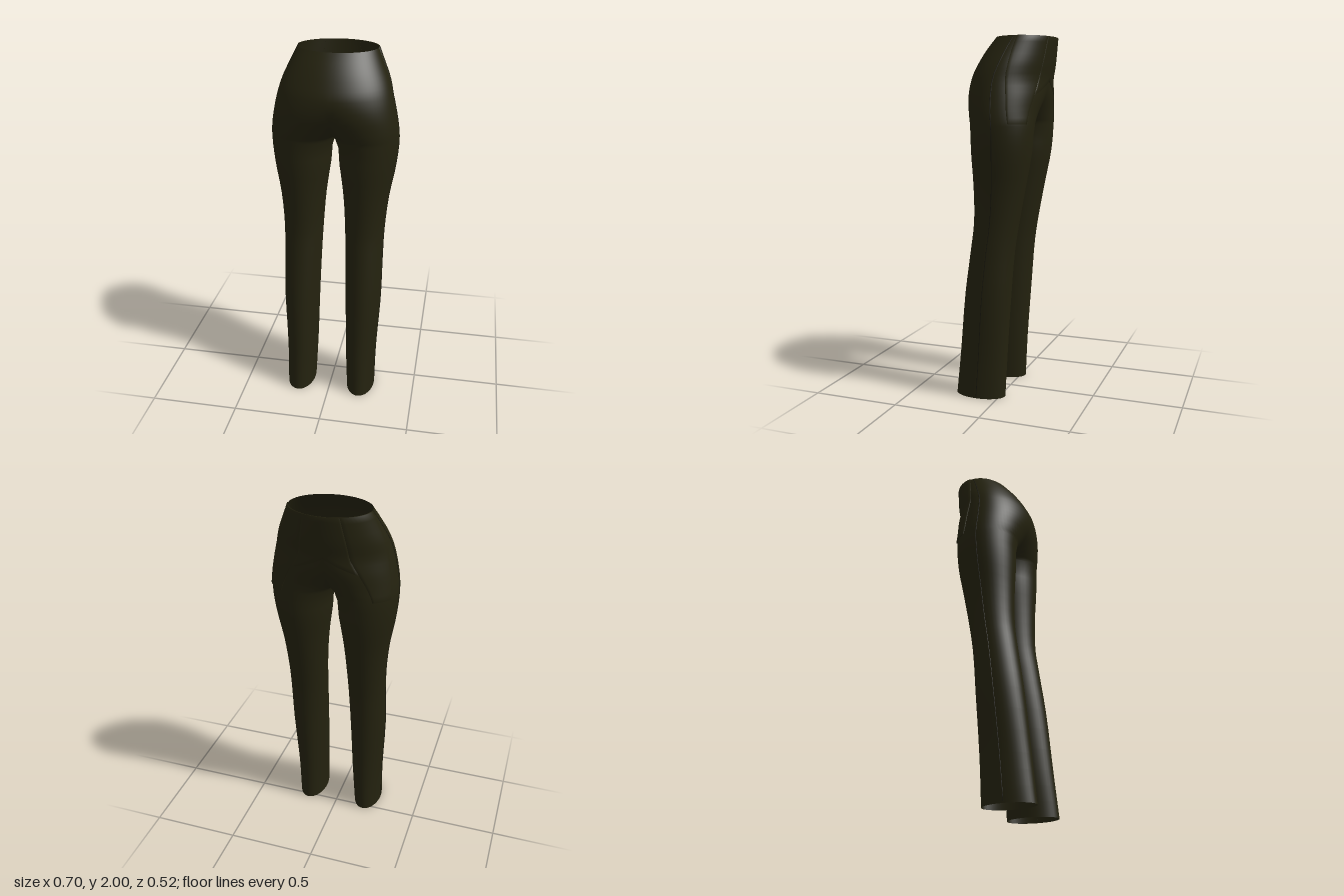
import * as THREE from 'three';
import { mergeGeometries, mergeVertices } from 'three/addons/utils/BufferGeometryUtils.js';

// One leg's sections by height: y, inner x, outer x, back z, front z.
// A negative inner x means the two halves meet in the middle.
const SECTIONS = [
  [0.0, 0.10, 0.262, -0.03, 0.26],
  [0.25, 0.088, 0.265, -0.042, 0.235],
  [0.6, 0.078, 0.282, -0.065, 0.2],
  [0.85, 0.07, 0.283, -0.085, 0.165],
  [1.0, 0.064, 0.285, -0.108, 0.146],
  [1.2, 0.05, 0.302, -0.145, 0.146],
  [1.38, 0.025, 0.333, -0.178, 0.155],
  [1.53, 0.0, 0.347, -0.19, 0.16],
  [1.6, -0.07, 0.343, -0.195, 0.177],
  [1.69, -0.19, 0.328, -0.212, 0.198],
  [1.78, -0.305, 0.307, -0.222, 0.198],
  [1.85, -0.285, 0.285, -0.236, 0.168],
  [1.93, -0.248, 0.248, -0.247, 0.12],
  [2.0, -0.215, 0.215, -0.255, 0.065],
];
const spline = new THREE.CubicInterpolant(
  SECTIONS.map((s) => s[0]), SECTIONS.flatMap((s) => s.slice(1)), 4);
const lerp = THREE.MathUtils.lerp;

// Ellipse of a section, and the half angle at which it reaches the middle
function section(y) {
  let [inner, outer, back, front] = spline.evaluate(y);
  inner = Math.max(inner, -outer);
  if (y <= 1.53) inner = Math.max(inner, 0);
  const cx = (inner + outer) / 2, rx = (outer - inner) / 2;
  return {
    cx, rx, cz: (front + back) / 2, rz: (front - back) / 2,
    a: inner >= 0 ? Math.PI : Math.acos(Math.max(-1, -cx / rx)),
  };
}

// Point on the cloth: angle t runs from the back (-) over the side (0) to the front (+)
function clothPoint(t, y, side, lift = 0) {
  const { cx, rx, cz, rz } = section(y);
  const n = new THREE.Vector2(Math.cos(t) / rx, Math.sin(t) / rz).normalize();
  const x = cx + rx * Math.cos(t) + n.x * lift;
  return [side * Math.max(0, x), y, cz + rz * Math.sin(t) + n.y * lift];
}

// Grid surface; point(i, j) gives a position, flip reverses the faces
function grid(cols, rows, point, flip) {
  const pos = [], index = [];
  for (let j = 0; j <= rows; j++) for (let i = 0; i <= cols; i++) pos.push(...point(i, j));
  for (let j = 0; j < rows; j++) for (let i = 0; i < cols; i++) {
    const p = j * (cols + 1) + i, q = p + 1, r = p + cols + 1, s = r + 1;
    if (flip) index.push(p, q, r, q, s, r);
    else index.push(p, r, q, q, r, s);
  }
  const g = new THREE.BufferGeometry();
  g.setAttribute('position', new THREE.Float32BufferAttribute(pos, 3));
  g.setIndex(index);
  return g;
}

// Raised panel whose rim drops back to the cloth; place(s, v) gives [t, y, side]
function panel(place, flip, cols, rows, lift) {
  const g = grid(cols + 2, rows + 2, (i, j) => {
    const rim = i === 0 || j === 0 || i === cols + 2 || j === rows + 2;
    const s = THREE.MathUtils.clamp((i - 1) / cols, 0, 1);
    const v = THREE.MathUtils.clamp((j - 1) / rows, 0, 1);
    const [t, y, side] = place(s, v);
    return clothPoint(t, y, side, rim ? -0.001 : lift);
  }, flip);
  g.computeVertexNormals();
  return g;
}

export function createModel() {
  const group = new THREE.Group();
  const cloth = new THREE.MeshStandardMaterial({ color: 0x24220f, side: THREE.DoubleSide });
  cloth.name = 'dark olive cloth';
  const thread = new THREE.MeshStandardMaterial({ color: 0x15140a, side: THREE.DoubleSide });
  thread.name = 'dark seam';
  const add = (name, geometry, material) => {
    const mesh = new THREE.Mesh(geometry, material);
    mesh.name = name;
    group.add(mesh);
  };

  // Heights of the rings: every section with two steps in between
  const heights = [0];
  for (let k = 1; k < SECTIONS.length; k++) {
    for (let m = 1; m <= 3; m++) heights.push(lerp(SECTIONS[k - 1][0], SECTIONS[k][0], m / 3));
  }

  // Legs and seat: two mirrored halves welded along the middle
  const cols = 40;
  const halves = [1, -1].map((side) => grid(cols, heights.length - 1, (i, j) => {
    const { a } = section(heights[j]);
    return clothPoint(lerp(-a, a, i / cols), heights[j], side);
  }, side < 0));
  const body = mergeVertices(mergeGeometries(halves), 1e-4);
  body.computeVertexNormals();
  add('trousers', body, cloth);

  // Back yoke with a pointed lower edge
  const innerEdge = -1.13;
  add('backYoke', panel((s, v) => {
    const k = Math.abs(s * 2 - 1), side = s < 0.5 ? -1 : 1;
    const y = lerp(lerp(1.77, 1.69, k), 2, v);
    return [lerp(-section(y).a, innerEdge, k), y, side];
  }, false, 24, 10, 0.005), cloth);

  for (const side of [1, -1]) {
    const prefix = side > 0 ? 'left' : 'right';

    // Long pocket panel behind the hip
    add(prefix + 'PocketPanel', panel((s, v) => {
      const y = lerp(1.54, 2, v);
      return [lerp(innerEdge, lerp(-0.5, -0.12, v), s), y, side];
    }, side < 0, 10, 14, 0.006), cloth);

    // Outer side seam
    add(prefix + 'SideSeam', panel((s, v) => [lerp(-0.012, 0.012, s), lerp(0.01, 2, v), side],
      side < 0, 1, 40, 0.0015), thread);
  }
  return group;
}
